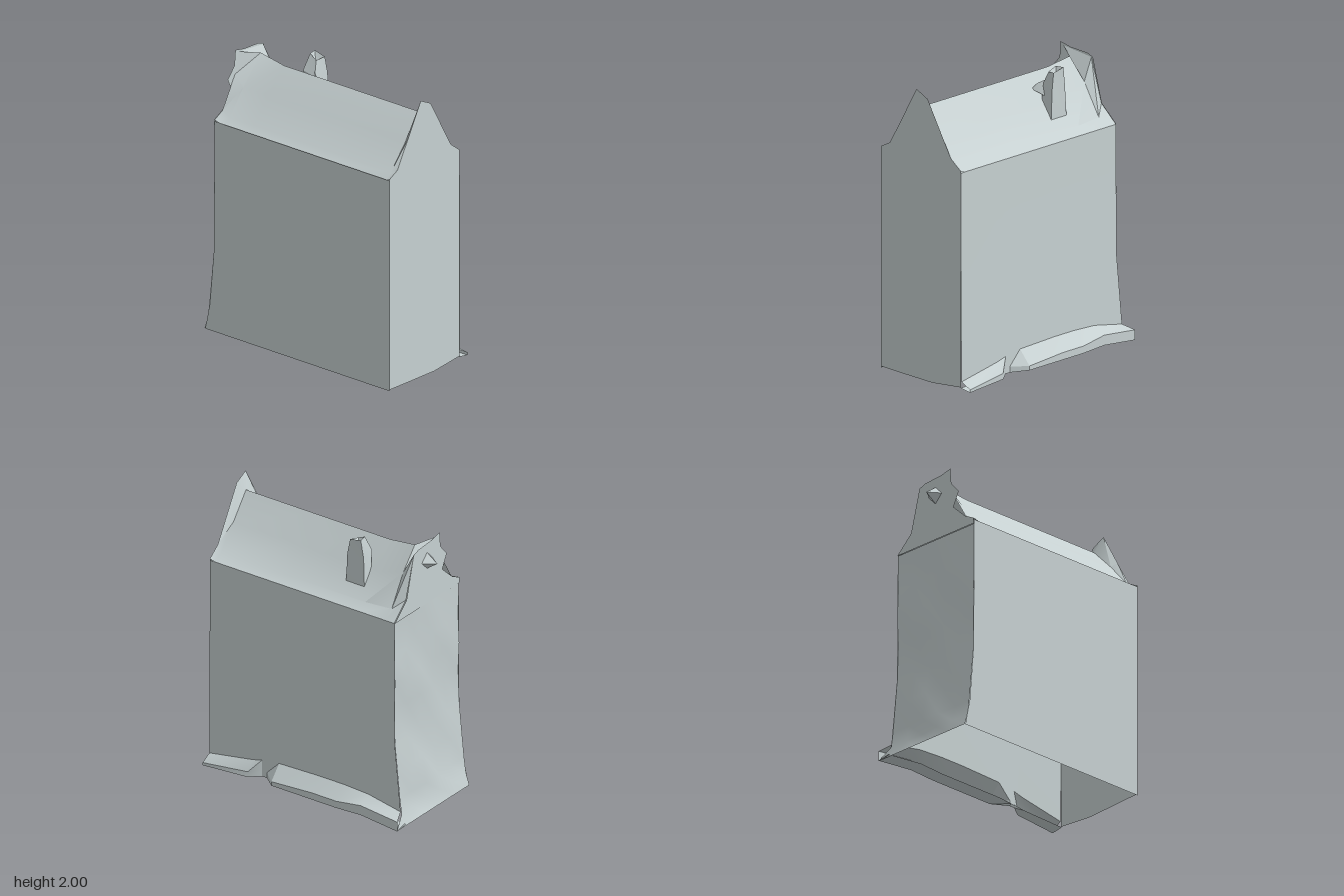
import * as THREE from 'three';
import { toCreasedNormals } from 'three/addons/utils/BufferGeometryUtils.js';

const stone = new THREE.MeshStandardMaterial({ color: 0xc6d0d1, side: THREE.DoubleSide });
stone.name = 'pale grey';

// Skin a surface through rows of [x, y, z] points of equal length
function loft(rows, closed = false) {
  const n = rows[0].length, index = [];
  const steps = closed ? n : n - 1;
  for (let i = 0; i < rows.length - 1; i++) {
    for (let j = 0; j < steps; j++) {
      const k = (j + 1) % n;
      const a = i * n + j, b = i * n + k, c = a + n, d = b + n;
      index.push(a, c, b, b, c, d);
    }
  }
  const g = new THREE.BufferGeometry();
  g.setAttribute('position', new THREE.Float32BufferAttribute(rows.flat(2), 3));
  g.setIndex(index);
  return toCreasedNormals(g, 0.5);
}

// Flat plate in the x-y plane
function plate(points, z) {
  const g = new THREE.ShapeGeometry(new THREE.Shape(points.map(p => new THREE.Vector2(...p))));
  return g.translate(0, 0, z);
}

export function createModel() {
  const model = new THREE.Group();
  model.name = 'gabledHouse';
  const add = (name, geometry) => {
    const mesh = new THREE.Mesh(geometry, stone);
    mesh.name = name;
    model.add(mesh);
  };

  // Roof cross-sections, from the -x eave over the ridge to the +x eave
  const frontGable = [[-0.41, 1.54], [-0.33, 1.58], [-0.22, 1.77], [-0.09, 2], [0.01, 1.95], [0.22, 1.58], [0.31, 1.51]];
  const main = [[-0.41, 1.52], [-0.35, 1.56], [-0.2, 1.73], [-0.04, 1.89], [0.1, 1.71], [0.24, 1.54], [0.31, 1.5]];
  const nearBack = [[-0.41, 1.52], [-0.35, 1.56], [-0.21, 1.73], [-0.03, 1.92], [0.1, 1.77], [0.23, 1.55], [0.31, 1.5]];
  const backEnd = [[-0.41, 1.54], [-0.33, 1.58], [-0.2, 1.8], [-0.16, 1.95], [0.09, 1.92], [0.18, 1.62], [0.31, 1.5]];
  const sections = [[0.8, frontGable], [0.76, main], [0.2, main], [-0.42, main], [-0.63, nearBack], [-0.71, backEnd]];
  add('roof', loft(sections.map(([z, s]) => s.map(([x, y]) => [x, y, z]))));

  // Front wall with its gable
  add('frontWall', plate([[-0.41, 0.02], [-0.2, 0.01], [0.05, 0], [0.31, 0.02], ...frontGable.slice().reverse()], 0.8));

  // Ragged back gable with a small projecting spike
  add('backGable', plate([[-0.41, 1.5], [0.31, 1.5], [0.18, 1.62], [0.1, 1.92], [0.05, 1.94], [-0.1, 1.95],
    [-0.19, 1.97], [-0.2, 1.86], [-0.27, 1.78], [-0.22, 1.68], [-0.33, 1.58], [-0.41, 1.54]], -0.715));
  const spike = new THREE.ConeGeometry(0.06, 0.085, 4, 1, true);
  spike.rotateX(-Math.PI / 2).translate(-0.05, 1.82, -0.757);
  add('gableSpike', toCreasedNormals(spike, 0.3));

  // Plain wall on the -x side
  add('plainWall', loft([
    [[-0.41, 1.53, 0.8], [-0.41, 1.53, -0.71]],
    [[-0.41, 0.6, 0.8], [-0.41, 0.6, -0.715]],
    [[-0.41, 0.2, 0.8], [-0.41, 0.2, -0.75]],
    [[-0.41, 0.01, 0.8], [-0.41, 0.01, -0.79]],
  ]));

  // Wall on the +x side, flaring into a folded skirt: z, outer x, fold y, lip y, base y
  const skirt = [
    [0.8, 0.39, 0.06, 0.02, 0.0], [0.45, 0.365, 0.12, 0.05, 0.01], [0.37, 0.315, 0.14, 0.06, 0.02],
    [0.33, 0.315, 0.14, 0.06, 0.02], [0.23, 0.4, 0.16, 0.06, 0.03], [-0.1, 0.4, 0.17, 0.08, 0.03],
    [-0.3, 0.4, 0.17, 0.08, 0.03], [-0.5, 0.4, 0.16, 0.11, 0.04], [-0.8, 0.4, 0.11, 0.08, 0.01],
  ];
  add('skirtedWall', loft(skirt.map(([z, x, fold, lip, base]) => [
    [0.31, 1.5, Math.max(z, -0.71)],
    [0.312, 0.6, Math.max(z, -0.715)],
    [0.315, fold, Math.max(z, -0.765)],
    [x, lip, z], [x, base, z], [0.305, base + 0.015, z],
  ])));

  // Weathered back wall, spreading outwards at the ground
  const backRows = [[1.5, 0.71], [1.25, 0.705], [1.05, 0.715], [0.85, 0.705], [0.6, 0.715],
    [0.4, 0.735], [0.2, 0.755], [0.09, 0.77], [0.01, 0.797]];
  add('backWall', loft(backRows.map(([y, depth], i) => {
    const right = y < 0.05 ? 0.4 : 0.31;
    return [0, 0.2, 0.4, 0.6, 0.8, 1].map((t, j) => {
      const inner = i > 0 && i < 8 && j > 0 && j < 5;
      const dent = inner ? 0.012 * Math.sin(i * 2.1 + j * 1.7) : 0;
      return [-0.41 + (right + 0.41) * t, y, -depth + dent];
    });
  })));

  // Tapering broken chimney, with a torn flap on its front
  const chimney = [
    [[0.1, 1.62, -0.22], [0.18, 1.6, -0.22], [0.18, 1.6, -0.37], [0.1, 1.62, -0.37]],
    [[0.07, 1.82, -0.25], [0.18, 1.82, -0.23], [0.175, 1.82, -0.36], [0.07, 1.84, -0.35]],
    [[0.11, 1.92, -0.27], [0.175, 1.93, -0.25], [0.18, 1.95, -0.34], [0.12, 1.95, -0.33]],
    [[0.14, 1.89, -0.29], [0.15, 1.89, -0.28], [0.15, 1.9, -0.31], [0.14, 1.9, -0.31]],
  ];
  add('chimney', loft(chimney, true));
  add('chimneyFlap', loft([
    [[0.02, 1.8, -0.2], [0.05, 1.84, -0.23]],
    [[0.1, 1.76, -0.24], [0.1, 1.87, -0.28]],
  ]));

  return model;
}
